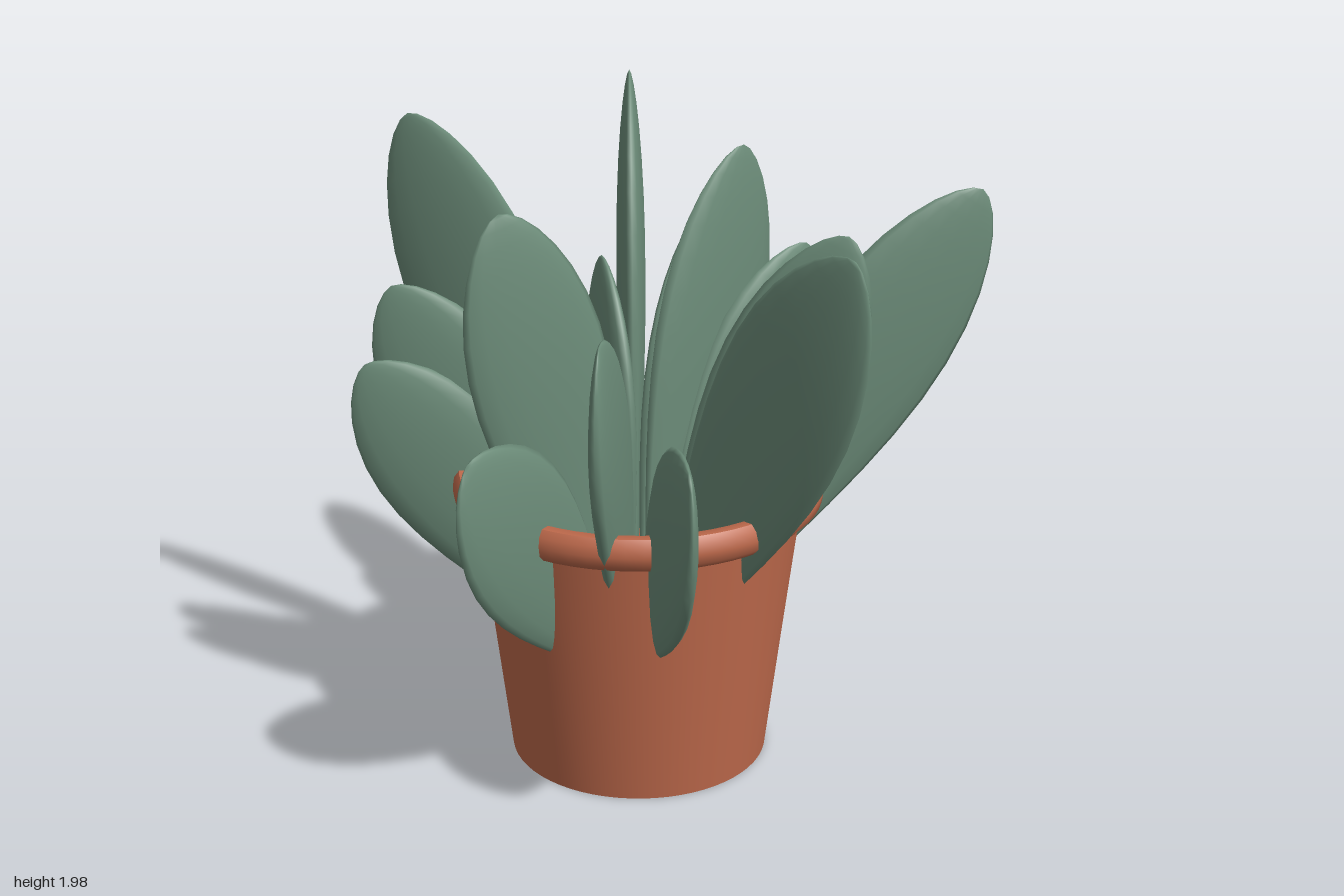
import * as THREE from 'three';
import { mergeVertices, toCreasedNormals } from 'three/addons/utils/BufferGeometryUtils.js';

const terracotta = new THREE.MeshStandardMaterial({ color: 0xbf6a4c });
const green = new THREE.MeshStandardMaterial({ color: 0x6c8c79 });

// Paddle leaf: narrow at its foot, widest past the middle, blunt at the tip.
function leafGeometry(length, width, thickness) {
  const geo = new THREE.SphereGeometry(1, 16, 20);
  const pos = geo.attributes.position;
  for (let i = 0; i < pos.count; i++) {
    const x = pos.getX(i), y = pos.getY(i), z = pos.getZ(i);
    const t = THREE.MathUtils.clamp((1 + y) / 2, 0, 1);
    const ring = Math.hypot(x, z);
    const swell = Math.pow(Math.max(Math.sin(Math.PI * Math.pow(t, 1.8)), 0), 0.6);
    const k = ring > 1e-4 ? swell / ring : 0;
    pos.setXYZ(i, x * k * width / 2, t * length, z * k * thickness / 2);
  }
  geo.deleteAttribute('uv');
  geo.deleteAttribute('normal');
  const merged = mergeVertices(geo, 1e-5);
  merged.computeVertexNormals();
  return merged;
}

function lathe(name, points) {
  const geo = new THREE.LatheGeometry(points.map(p => new THREE.Vector2(...p)), 64);
  const mesh = new THREE.Mesh(toCreasedNormals(geo, 0.9), terracotta);
  mesh.name = name;
  return mesh;
}

export function createModel() {
  const model = new THREE.Group();
  model.name = 'pottedPlant';

  // Hollow pot with a thick rounded rim
  const pot = new THREE.Group();
  pot.name = 'pot';
  pot.position.set(0.017, 0, -0.068);
  pot.add(
    lathe('potBody', [[0, 0], [0.395, 0], [0.445, 0.42], [0.495, 0.83]]),
    lathe('potRim', [[0.49, 0.82], [0.535, 0.82], [0.555, 0.84], [0.56, 0.87],
      [0.555, 0.9], [0.54, 0.92], [0.51, 0.92], [0.485, 0.9], [0.475, 0.85]]),
    lathe('potInside', [[0.475, 0.85], [0.42, 0.4], [0.38, 0.16], [0.33, 0.1], [0, 0.08]])
  );
  model.add(pot);

  // Leaves: heading x, heading z, tip radius, tip height, foot height, width
  const leaves = [
    [0.86, 0.68, 1.04, 1.74, 0.2, 0.45],
    [0.36, 0.63, 0.63, 1.69, 0.18, 0.42],
    [-0.08, 0.95, 0.88, 1.78, 0.22, 0.5],
    [-0.59, 0.78, 0.9, 1.25, 0.27, 0.5],
    [-0.57, 0.39, 0.6, 1.52, 0.2, 0.46],
    [-0.86, 0.13, 0.8, 1.2, 0.22, 0.47],
    [-0.52, -0.15, 0.44, 1.78, 0.2, 0.45],
    [-0.57, -0.65, 0.8, 1.24, 0.22, 0.45],
    [-0.48, -0.63, 0.72, 1.47, 0.22, 0.45],
    [-0.23, -0.81, 0.76, 1.92, 0.2, 0.5],
    [0.53, -0.52, 0.64, 1.98, 0.2, 0.5],
    [0.21, -0.38, 0.32, 1.49, 0.2, 0.4],
    [0.48, -0.1, 0.4, 1.62, 0.2, 0.42],
    [0.55, 0.025, 0.46, 1.83, 0.2, 0.46],
    [0.72, 0.13, 0.66, 1.5, 0.22, 0.46],
  ];
  const footRadius = 0.04;
  const foliage = new THREE.Group();
  foliage.name = 'foliage';
  foliage.position.set(0, 0, -0.07);
  for (const [hx, hz, tipR, tipY, footY, width] of leaves) {
    const out = tipR - footRadius, up = tipY - footY;
    const leaf = new THREE.Mesh(leafGeometry(Math.hypot(out, up), width, 0.09), green);
    leaf.name = 'leaf';
    leaf.position.set(footRadius, footY, 0);
    leaf.rotation.z = -Math.atan2(out, up);
    const turn = new THREE.Group();
    turn.name = 'leafHeading';
    turn.rotation.y = Math.atan2(-hz, hx);
    turn.add(leaf);
    foliage.add(turn);
  }
  model.add(foliage);
  return model;
}
